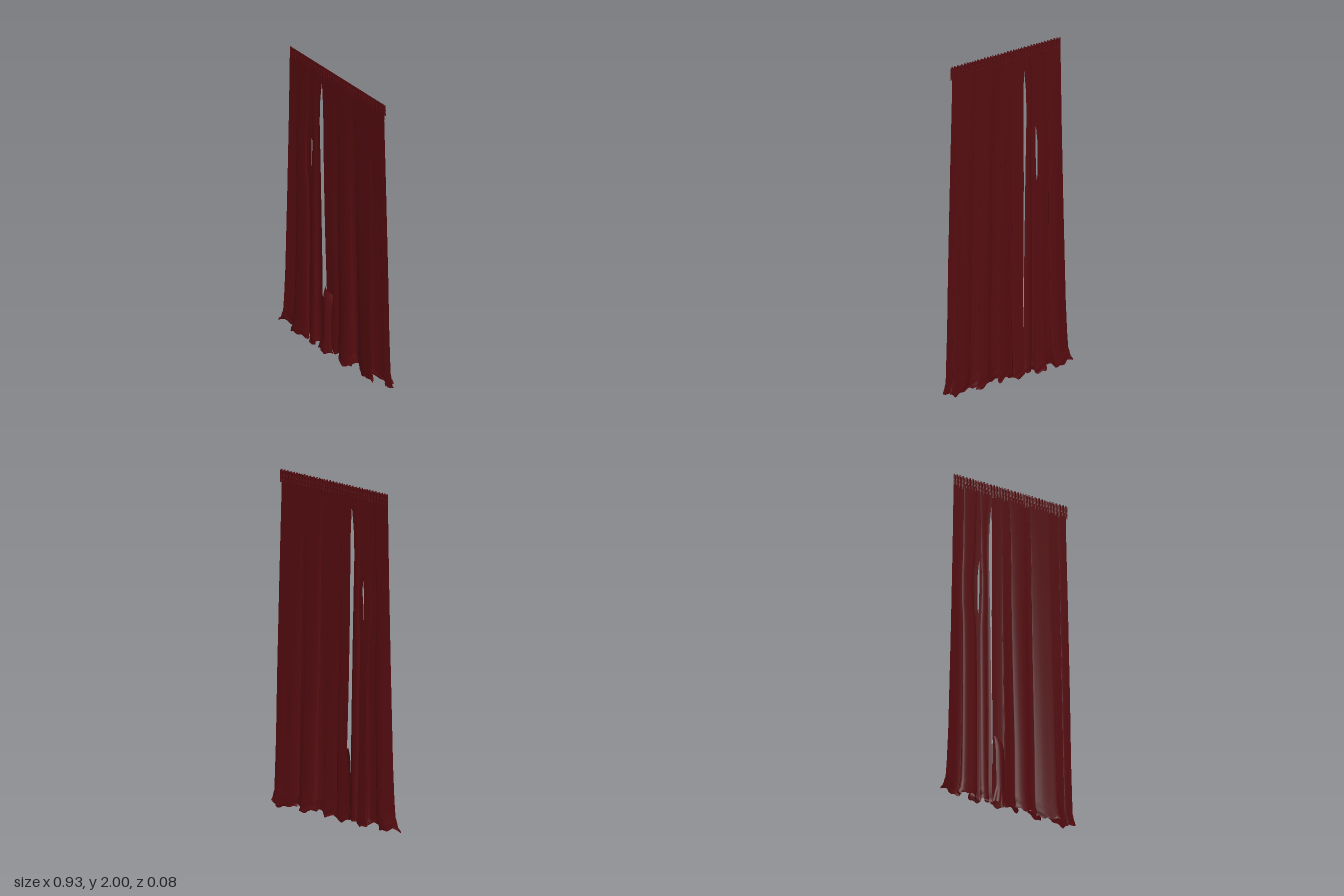
import * as THREE from 'three';

const cloth = new THREE.MeshStandardMaterial({ color: 0x560c10, side: THREE.DoubleSide });
cloth.name = 'dark red cloth';

// linear interpolation through [y, value] keys in ascending y
function at(keys, y) {
  if (y <= keys[0][0]) return keys[0][1];
  for (let i = 1; i < keys.length; i++) {
    const [y0, a] = keys[i - 1], [y1, b] = keys[i];
    if (y <= y1) return a + (b - a) * (y - y0) / (y1 - y0);
  }
  return keys[keys.length - 1][1];
}

// how deep the pleats are at each height, relative to the hem
const depth = [[0, 1], [0.05, 0.92], [0.12, 0.8], [0.4, 0.65], [1, 0.4], [1.4, 0.25], [1.8, 0.11], [1.95, 0.05]];

// a grid of cloth whose vertices are placed by place(u, v, target)
function sheet(name, nu, nv, place) {
  const g = new THREE.PlaneGeometry(1, 1, nu, nv);
  const p = g.attributes.position, t = new THREE.Vector3();
  for (let i = 0; i < p.count; i++) {
    place(p.getX(i) + 0.5, p.getY(i) + 0.5, t);
    p.setXYZ(i, t.x, t.y, t.z);
  }
  g.computeVertexNormals();
  const m = new THREE.Mesh(g, cloth);
  m.name = name;
  return m;
}

// hanging panel: hem footprint [x, z] squeezed between two side edges as it rises
function panel(name, foot, left, right) {
  const curve = new THREE.CatmullRomCurve3(foot.map(([x, z]) => new THREE.Vector3(x, 0, z)), false, 'centripetal');
  const x0 = foot[0][0], x1 = foot[foot.length - 1][0];
  const q = new THREE.Vector3();
  return sheet(name, (foot.length - 1) * 9, 44, (u, v, t) => {
    curve.getPoint(u, q);
    const low = 0.018 + 0.009 * Math.sin(q.x * 43 + 1) + 0.006 * Math.sin(q.x * 97 + q.z * 60);
    const y = low + (1.955 - low) * Math.pow(v, 1.7);
    const l = at(left, y), r = at(right, y);
    const crumple = Math.max(0, 1 - y / 0.11);
    t.x = l + (r - l) * (q.x - x0) / (x1 - x0) + crumple * 0.004 * Math.sin(y * 120 + q.x * 50);
    t.y = Math.max(0.004, y);
    t.z = q.z * at(depth, y) + crumple * 0.003 * Math.sin(y * 140 + q.x * 70);
  });
}

export function createModel() {
  const root = new THREE.Group();
  root.name = 'curtain';

  // left part, up to the short slit
  root.add(panel('leftPanel',
    [[-0.465, 0], [-0.42, -0.013], [-0.37, -0.024], [-0.33, -0.02], [-0.32, -0.008], [-0.355, 0.004],
      [-0.345, 0.022], [-0.29, 0.026], [-0.235, 0.016], [-0.225, -0.004], [-0.25, -0.02],
      [-0.255, -0.035], [-0.215, -0.034], [-0.175, -0.028]],
    [[0.02, -0.463], [0.05, -0.445], [0.1, -0.428], [0.2, -0.42], [0.4, -0.41], [1, -0.393], [1.5, -0.381], [1.95, -0.373]],
    [[0.02, -0.17], [0.8, -0.175], [1.12, -0.185], [1.2, -0.203], [1.4, -0.205], [1.54, -0.19], [1.95, -0.18]]));

  // narrow strip beside the long slit
  root.add(panel('middleStrip',
    [[-0.22, -0.012], [-0.19, -0.004], [-0.2, 0.012], [-0.185, 0.025], [-0.15, 0.022],
      [-0.168, 0.004], [-0.15, -0.016], [-0.12, -0.018], [-0.103, -0.006]],
    [[0.02, -0.215], [1.12, -0.207], [1.2, -0.198], [1.4, -0.192], [1.54, -0.197], [1.95, -0.205]],
    [[0.02, -0.1], [0.1, -0.106], [0.6, -0.111], [1.2, -0.122], [1.6, -0.131], [1.75, -0.126], [1.87, -0.113], [1.95, -0.105]]));

  // wide right part
  root.add(panel('rightPanel',
    [[-0.105, -0.03], [-0.06, -0.03], [-0.025, -0.022], [-0.03, -0.004], [0.02, -0.012], [0.075, -0.018],
      [0.06, -0.004], [0.035, 0.012], [0.06, 0.03], [0.11, 0.034], [0.15, 0.018], [0.135, 0],
      [0.15, -0.022], [0.2, -0.034], [0.24, -0.032], [0.225, -0.016], [0.19, -0.002], [0.225, 0.018],
      [0.28, 0.03], [0.335, 0.034], [0.32, 0.016], [0.28, -0.002], [0.31, -0.02], [0.37, -0.03],
      [0.435, -0.035], [0.42, -0.016], [0.405, 0], [0.465, -0.005]],
    [[0.02, -0.098], [0.4, -0.091], [0.8, -0.1], [1.2, -0.105], [1.7, -0.106], [1.87, -0.113], [1.95, -0.12]],
    [[0.02, 0.467], [0.05, 0.461], [0.09, 0.446], [0.4, 0.435], [0.8, 0.427], [1.4, 0.411], [1.9, 0.396], [1.95, 0.4]]));

  // lower fold that turns forward in front of the right panel
  root.add(sheet('turnedFold', 20, 24, (u, v, t) => {
    const low = 0.014 + 0.01 * Math.sin(u * 9);
    t.y = low + (0.445 - 0.035 * u - low) * v;
    const flare = Math.max(0, 1 - t.y / 0.12);
    t.x = -0.092 + 0.066 * u + flare * (u - 0.65) * 0.05;
    const tuck = Math.pow(v, 8) * 0.022;
    t.z = (0.006 + 0.027 * Math.sin(Math.PI * (0.2 + 0.75 * u))) * at(depth, t.y) - tuck + flare * 0.003 * Math.sin(u * 25);
  }));

  // gathered heading, pinched along two rows of stitching
  const pinch = [[1.92, 0.002], [1.935, 0.0045], [1.95, 0.0012], [1.963, 0.0045], [1.973, 0.0012], [2, 0.004]];
  root.add(sheet('heading', 360, 14, (u, v, t) => {
    const gather = Math.sin(u * Math.PI * 76 + Math.sin(u * 31));
    const bottom = 1.925 + 0.008 * Math.sin(u * 67);
    t.y = bottom + (1.996 + 0.004 * gather - bottom) * v;
    t.x = -0.373 + 0.781 * u + 0.003 * Math.sin(u * Math.PI * 152) * v;
    t.z = gather * at(pinch, t.y);
  }));

  return root;
}
